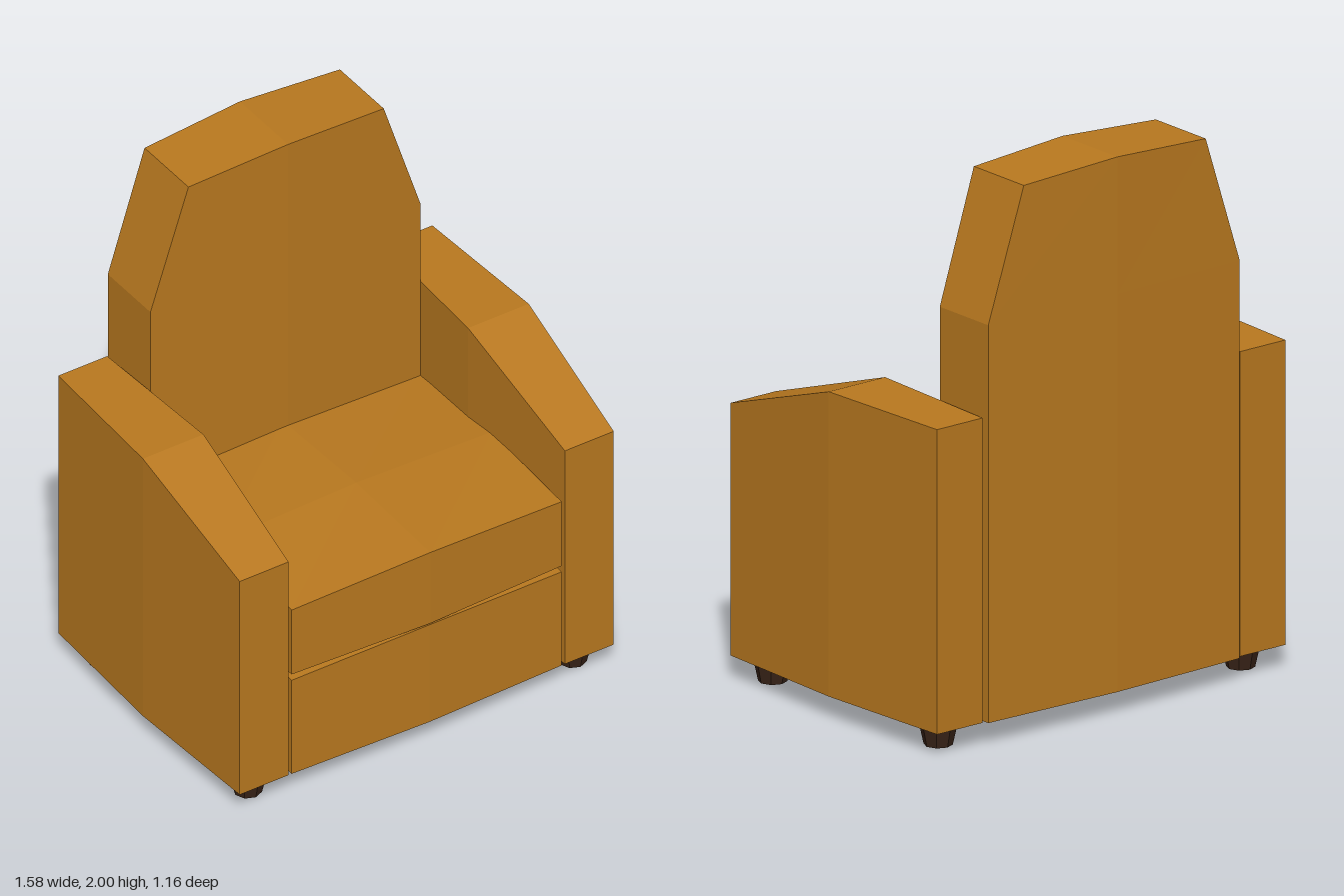
import * as THREE from 'three';

const fabric = new THREE.MeshStandardMaterial({ color: 0xb8781f, flatShading: true });
const wood = new THREE.MeshStandardMaterial({ color: 0x3a2418, flatShading: true });

// Segmented box whose corners (u, v, w in -1..1) are placed by a rule
function shapedBox(name, segments, rule) {
  const geometry = new THREE.BoxGeometry(2, 2, 2, ...segments);
  const p = geometry.attributes.position;
  for (let i = 0; i < p.count; i++) {
    p.setXYZ(i, ...rule(p.getX(i), p.getY(i), p.getZ(i)));
  }
  geometry.computeVertexNormals();
  const mesh = new THREE.Mesh(geometry, fabric);
  mesh.name = name;
  return mesh;
}

// 1 in the middle, 0 at either end
const crown = (t) => 1 - Math.abs(t);

export function createModel() {
  const group = new THREE.Group();
  group.name = 'armchair';

  // Backrest: straight sides, tapered shoulders, bowed front and rear
  group.add(shapedBox('backrest', [2, 2, 1], (u, v, w) => {
    const halfWidth = v > 0.5 ? 0.4 : 0.553;
    const y = v < -0.5 ? 0.085 : v > 0.5 ? 1.98 + 0.022 * crown(u) : 1.51;
    const edge = v > 0.5 ? 0.004 * Math.abs(u) : 0;
    const z = w > 0 ? -0.302 + edge + 0.016 * crown(u) : -0.562 - edge - 0.018 * crown(u);
    return [u * halfWidth, y, z];
  }));

  // Seat cushion: crowned top and bowed front
  group.add(shapedBox('seatCushion', [2, 1, 2], (u, v, w) => [
    u * 0.553,
    v > 0 ? 0.78 + 0.028 * Math.max(crown(u), crown(w)) + 0.016 * crown(u) * crown(w) : 0.507,
    w > 0.5 ? 0.56 + 0.022 * crown(u) : w < -0.5 ? -0.32 : 0.13,
  ]));

  // Front panel and base under the cushion
  group.add(shapedBox('base', [2, 1, 2], (u, v, w) => [
    u * 0.553,
    v > 0 ? 0.482 + 0.015 * Math.max(crown(u), crown(w)) + 0.008 * crown(u) * crown(w) : 0.085,
    w > 0.5 ? 0.56 + 0.016 * crown(u) : w < -0.5 ? -0.32 : 0.13,
  ]));

  for (const side of [1, -1]) {
    const label = side > 0 ? 'left' : 'right';

    // Armrest: sides bulge halfway along, top slopes down to the front
    group.add(shapedBox(label + 'Armrest', [1, 1, 2], (u, v, w) => [
      side * 0.666 + u * (0.1 + 0.024 * crown(w)),
      v < 0 ? 0.085 : w > 0.5 ? 0.99 : 1.177,
      w > 0.5 ? 0.56 : w < -0.5 ? -0.547 : 0.005,
    ]));

    // Tapered feet
    for (const [end, z] of [['Front', 0.458], ['Back', -0.43]]) {
      const foot = new THREE.Mesh(new THREE.CylinderGeometry(0.069, 0.05, 0.087, 8), wood);
      foot.name = label + end + 'Foot';
      foot.position.set(side * 0.665, 0.0435, z);
      group.add(foot);
    }
  }
  return group;
}
